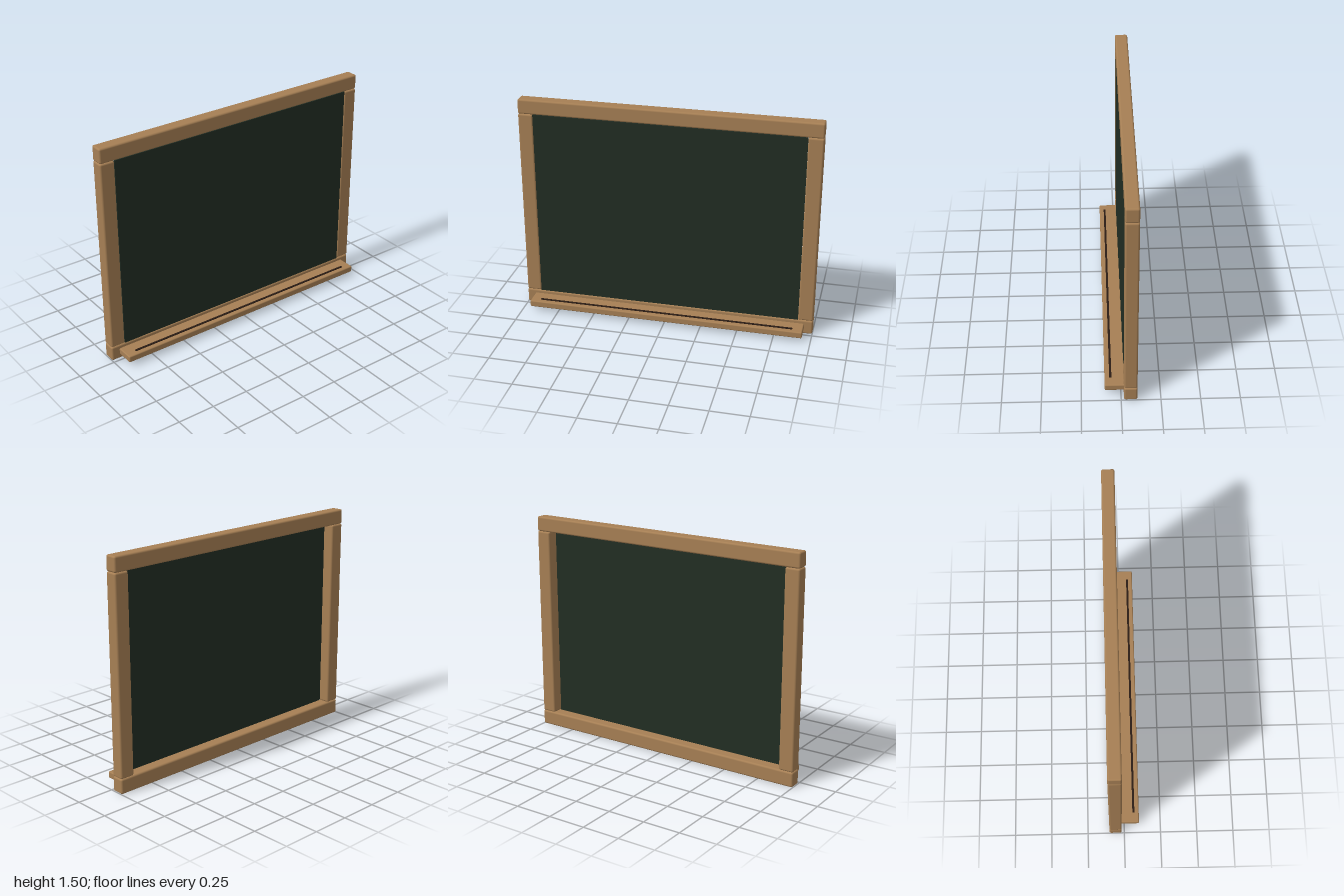
import * as THREE from 'three';
import { RoundedBoxGeometry } from 'three/addons/geometries/RoundedBoxGeometry.js';

const wood = new THREE.MeshStandardMaterial({ name: 'wood', color: 0xa67f54 });
const slate = new THREE.MeshStandardMaterial({ name: 'slate', color: 0x212d23 });
const groove = new THREE.MeshStandardMaterial({ name: 'dark groove', color: 0x2a1c14 });

const BACK = -0.102, FRONT = -0.018, RAIL = 0.1, WIDTH = 2, HEIGHT = 1.5;

// Box from its min and max corners, with softly rounded edges when radius > 0
function block(name, material, min, max, radius) {
  const size = max.map((v, i) => v - min[i]);
  const geometry = radius
    ? new RoundedBoxGeometry(...size, 3, radius)
    : new THREE.BoxGeometry(...size);
  const mesh = new THREE.Mesh(geometry, material);
  mesh.name = name;
  mesh.position.set(...max.map((v, i) => (v + min[i]) / 2));
  return mesh;
}

export function createModel() {
  const model = new THREE.Group();
  model.name = 'chalkboard';
  const half = WIDTH / 2, inner = half - RAIL, top = HEIGHT - RAIL;

  // Wooden frame: full-width rails with stiles between them
  const frame = new THREE.Group();
  frame.name = 'frame';
  frame.add(block('bottomRail', wood, [-half, 0, BACK], [half, RAIL, FRONT], 0.012));
  frame.add(block('topRail', wood, [-half, top, BACK], [half, HEIGHT, FRONT], 0.012));
  frame.add(block('rightStile', wood, [-half, RAIL, BACK], [-inner, top, FRONT], 0.012));
  frame.add(block('leftStile', wood, [inner, RAIL, BACK], [half, top, FRONT], 0.012));
  model.add(frame);

  // Thin writing surface near the front of the frame
  model.add(block('writingSurface', slate, [-inner, RAIL, -0.028], [inner, top, -0.02], 0));

  // Chalk ledge with a dark chalk line along it
  const ledge = new THREE.Group();
  ledge.name = 'chalkLedge';
  ledge.add(block('ledgeBoard', wood, [-0.943, 0.03, -0.03], [0.943, 0.075, 0.102], 0.008));
  ledge.add(block('ledgeGroove', groove, [-0.875, 0.071, 0.058], [0.875, 0.08, 0.072], 0));
  model.add(ledge);

  return model;
}
